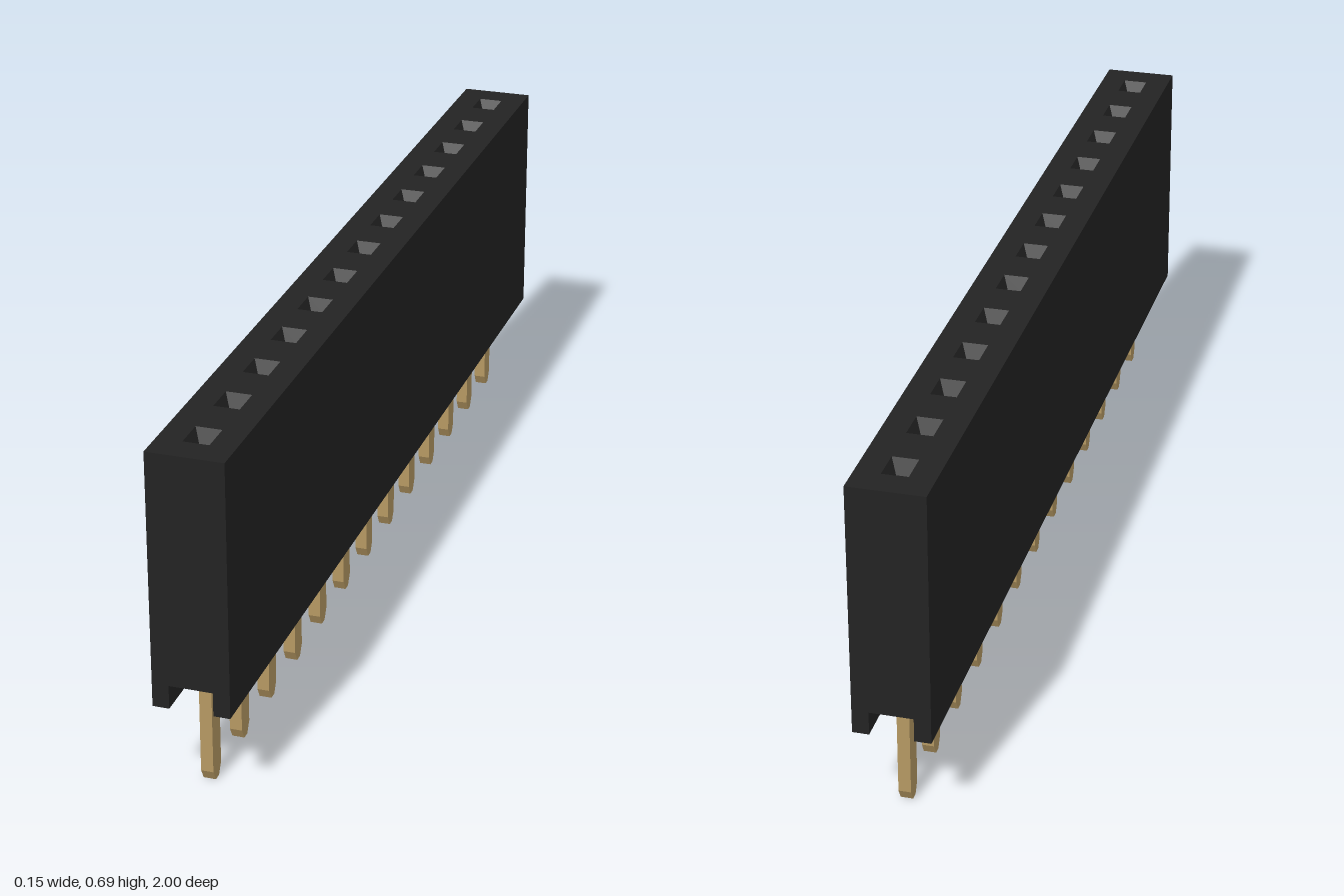
import * as THREE from 'three';

const PINS = 13, PITCH = 0.1517;
const HALF_W = 0.074, TOP = 0.693, CEILING = 0.234, BOTTOM = 0.187, CHANNEL = 0.042;
const HOLE = [0.025, 0.032], SHAFT = [0.014, 0.02]; // half sizes in x and z

const plastic = new THREE.MeshStandardMaterial({ color: 0x232323, flatShading: true, side: THREE.DoubleSide });
plastic.name = 'black plastic';
const gold = new THREE.MeshStandardMaterial({ color: 0xb59862, flatShading: true });
gold.name = 'gold metal';

function add(parent, name, geometry, material, x = 0, y = 0, z = 0) {
  const mesh = new THREE.Mesh(geometry, material);
  mesh.name = name;
  mesh.position.set(x, y, z);
  parent.add(mesh);
}

const rect = (hx, hz, cz = 0) => [[-hx, cz - hz], [hx, cz - hz], [hx, cz + hz], [-hx, cz + hz]]
  .map(([x, z]) => new THREE.Vector2(x, z));

// Open four-sided sleeve with different half sizes at top and bottom
function sleeve(top, bottom, height) {
  const g = new THREE.CylinderGeometry(Math.SQRT2, Math.SQRT2, height, 4, 1, true);
  g.rotateY(Math.PI / 4);
  const p = g.attributes.position;
  for (let i = 0; i < p.count; i++) {
    const size = p.getY(i) > 0 ? top : bottom;
    p.setX(i, Math.sign(p.getX(i)) * size[0]);
    p.setZ(i, Math.sign(p.getZ(i)) * size[1]);
  }
  return g;
}

// Contact: pointed pin, shoulder inside the housing, two spring prongs
function contactGeometry() {
  const half = [[0.008, 0], [0.02, 0.022], [0.02, 0.228], [0.028, 0.236], [0.028, 0.28],
    [0.018, 0.3], [0.018, 0.6], [0.012, 0.6], [0.004, 0.55], [0.01, 0.32]];
  const outline = [...half, ...half.slice().reverse().map(([z, y]) => [-z, y])];
  const shape = new THREE.Shape(outline.map(([z, y]) => new THREE.Vector2(z, y)));
  const g = new THREE.ExtrudeGeometry(shape, { depth: 0.024, bevelEnabled: false });
  return g.translate(0, 0, -0.012).rotateY(-Math.PI / 2);
}

export function createModel() {
  const model = new THREE.Group();
  model.name = 'socketStrip';

  // Housing block pierced by a row of holes
  const plan = new THREE.Shape(rect(HALF_W, 1));
  const positions = Array.from({ length: PINS }, (_, i) => (i - (PINS - 1) / 2) * PITCH);
  for (const z of positions) plan.holes.push(new THREE.Path(rect(...HOLE, z).reverse()));
  const block = new THREE.ExtrudeGeometry(plan, { depth: TOP - CEILING, bevelEnabled: false });
  add(model, 'housing', block.rotateX(-Math.PI / 2), plastic, 0, CEILING, 0);

  // Skirts on both sides of the bottom channel
  for (const s of [-1, 1]) {
    const skirt = new THREE.BoxGeometry(HALF_W - CHANNEL, CEILING - BOTTOM, 2);
    add(model, s > 0 ? 'leftSkirt' : 'rightSkirt', skirt, plastic,
      s * (HALF_W + CHANNEL) / 2, (CEILING + BOTTOM) / 2, 0);
  }

  // Funnel, shaft and contact at every position
  const funnelDepth = 0.03, shaftEnd = 0.3;
  const funnel = sleeve(HOLE, SHAFT, funnelDepth);
  const shaftHeight = TOP - funnelDepth - shaftEnd;
  const shaft = sleeve(SHAFT, SHAFT, shaftHeight);
  const contact = contactGeometry();
  for (const z of positions) {
    add(model, 'socketFunnel', funnel, plastic, 0, TOP - funnelDepth / 2, z);
    add(model, 'socketShaft', shaft, plastic, 0, shaftEnd + shaftHeight / 2, z);
    add(model, 'contactPin', contact, gold, 0, 0, z);
  }
  return model;
}
